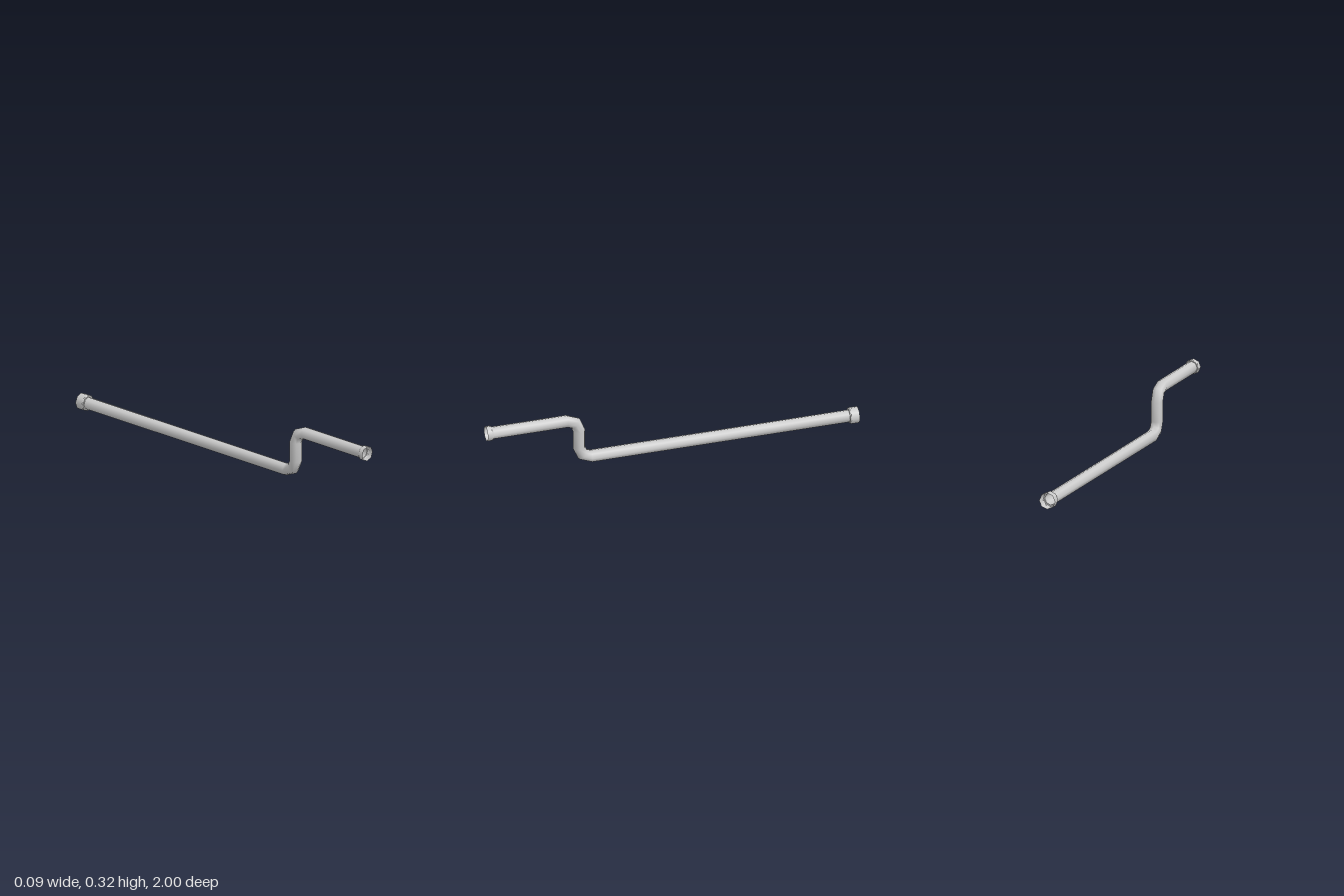
import * as THREE from 'three';
import { mergeGeometries } from 'three/addons/utils/BufferGeometryUtils.js';

const SIDES = 8;
const PIPE_R = 0.033;
const BEND_R = 0.065;
const HIGH_Y = 0.28, LOW_Y = 0.045, DROP_Z = 0.5;
const FRONT_STEP = 0.968, BACK_STEP = 0.95;

const material = new THREE.MeshStandardMaterial({ color: 0xcccccc, side: THREE.DoubleSide });

// Stations along the pipe from front to back; slope 0 runs backward, PI/2 straight down
function pipeStations() {
  const list = [{ y: HIGH_Y, z: FRONT_STEP, slope: 0 }];
  const bendSteps = 2;
  for (let i = 0; i <= bendSteps; i++) {
    const a = (i / bendSteps) * Math.PI / 2;
    list.push({
      y: HIGH_Y - BEND_R + BEND_R * Math.cos(a),
      z: DROP_Z + BEND_R - BEND_R * Math.sin(a),
      slope: a,
    });
  }
  for (let i = bendSteps; i >= 0; i--) {
    const a = (i / bendSteps) * Math.PI / 2;
    list.push({
      y: LOW_Y + BEND_R - BEND_R * Math.cos(a),
      z: DROP_Z - BEND_R + BEND_R * Math.sin(a),
      slope: a,
    });
  }
  list.push({ y: LOW_Y, z: -BACK_STEP, slope: 0 });
  return list;
}

// Open tube with one octagonal ring square to the path at each station
function pipeGeometry(stations) {
  const positions = [], index = [];
  stations.forEach(({ y, z, slope }, i) => {
    const ty = -Math.sin(slope), tz = -Math.cos(slope);
    for (let j = 0; j < SIDES; j++) {
      const a = (j / SIDES) * Math.PI * 2;
      const u = PIPE_R * Math.cos(a), v = PIPE_R * Math.sin(a);
      positions.push(u, y + v * tz, z - v * ty);
      if (i < stations.length - 1) {
        const k = (j + 1) % SIDES;
        const p = i * SIDES + j, q = i * SIDES + k;
        index.push(p, q, p + SIDES, q, q + SIDES, p + SIDES);
      }
    }
  });
  const geometry = new THREE.BufferGeometry();
  geometry.setAttribute('position', new THREE.Float32BufferAttribute(positions, 3));
  geometry.setIndex(index);
  geometry.computeVertexNormals();
  return geometry;
}

// Open socket: a step out from the pipe, a small chamfer and a straight sleeve
function collar(name, radius, step, y, direction) {
  const profile = [[PIPE_R, step], [radius - 0.003, step], [radius, step + 0.006], [radius, 1]];
  const bands = [];
  for (let i = 0; i < profile.length - 1; i++) {
    const pair = [profile[i], profile[i + 1]].map(([r, h]) => new THREE.Vector2(r, h));
    bands.push(new THREE.LatheGeometry(pair, SIDES));
  }
  const mesh = new THREE.Mesh(mergeGeometries(bands), material);
  mesh.name = name;
  mesh.rotation.x = direction * Math.PI / 2;
  mesh.position.y = y;
  return mesh;
}

export function createModel() {
  const group = new THREE.Group();
  group.name = 'offsetPipe';

  const pipe = new THREE.Mesh(pipeGeometry(pipeStations()), material);
  pipe.name = 'pipe';
  group.add(pipe);

  group.add(collar('frontCollar', 0.04, FRONT_STEP, HIGH_Y, 1));
  group.add(collar('backCollar', 0.044, BACK_STEP, LOW_Y, -1));
  return group;
}
